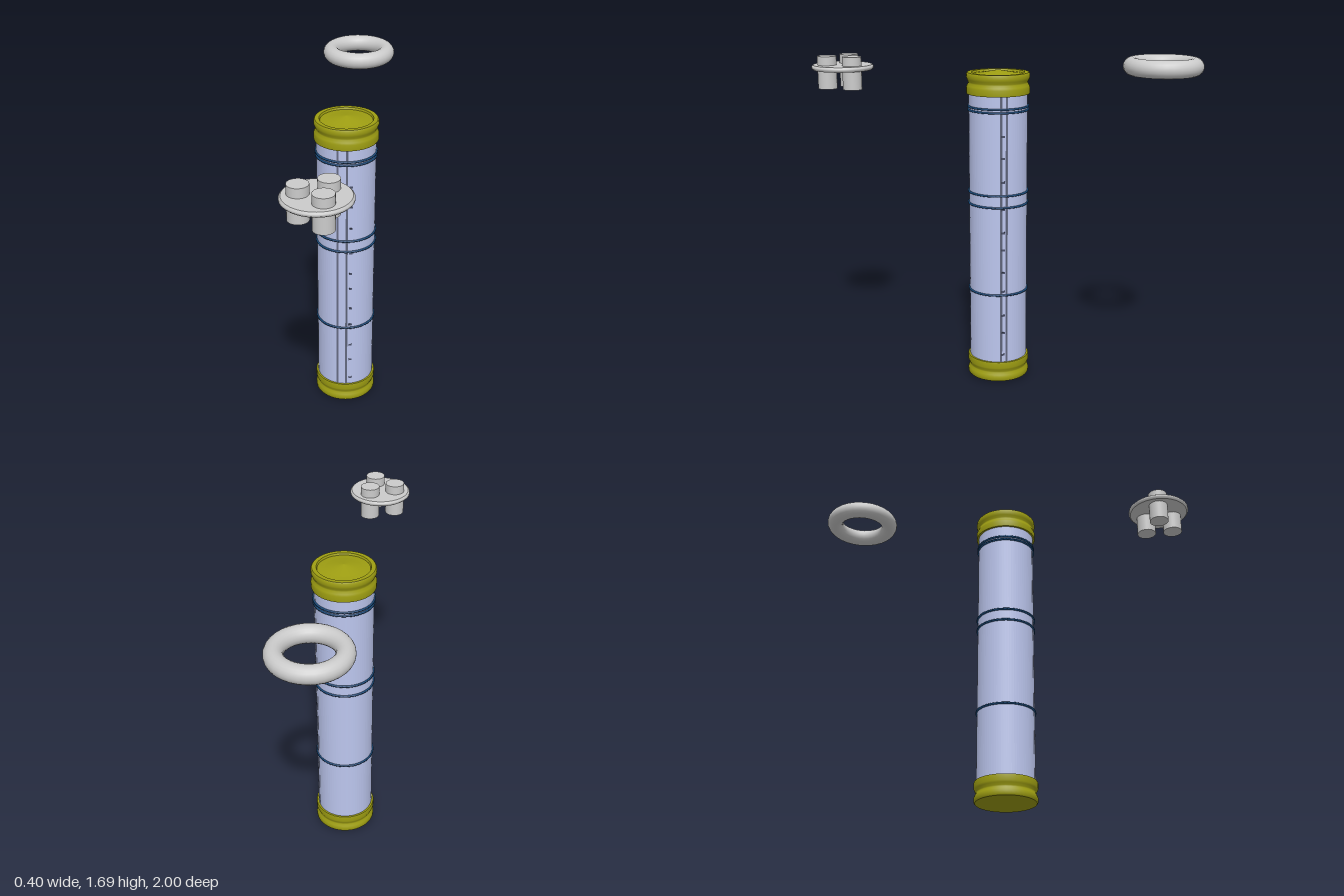
import * as THREE from 'three';

const mat = (color) => new THREE.MeshStandardMaterial({ color });

export function createModel() {
  const model = new THREE.Group();
  const grey = mat(0xcccccc), shell = mat(0xbcc6ee), olive = mat(0x9e9e12);
  const blue = mat(0x1a4a7a), dark = mat(0x4a5068);

  const add = (parent, name, geometry, material, x = 0, y = 0, z = 0) => {
    const mesh = new THREE.Mesh(geometry, material);
    mesh.name = name;
    mesh.position.set(x, y, z);
    parent.add(mesh);
    return mesh;
  };
  // Lathe with hard edges: profile runs from bottom to top on the outside
  const lathe = (points, segments = 40) => {
    const g = new THREE.LatheGeometry(points.map(([r, y]) => new THREE.Vector2(r, y)), segments);
    return g;
  };

  // Tall canister
  const canister = new THREE.Group();
  canister.name = 'canister';
  canister.position.x = 0.04;
  model.add(canister);

  // Shell with two shallow seams along the front and two along the rear side
  const R = 0.147;
  const seams = [98, 80, -22, -33].map((d) => THREE.MathUtils.degToRad(d));
  const angles = [];
  for (let i = 0; i < 72; i++) {
    const a = (i / 72) * Math.PI * 2 - Math.PI;
    if (seams.every((s) => Math.abs(s - a) > 0.03)) angles.push([a, R]);
  }
  for (const s of seams) angles.push([s - 0.02, R], [s, R - 0.005], [s + 0.02, R]);
  angles.sort((p, q) => p[0] - q[0]);
  const outline = new THREE.Shape(angles.map(([a, r]) => new THREE.Vector2(r * Math.cos(a), -r * Math.sin(a))));
  const tube = new THREE.ExtrudeGeometry(outline, { depth: 1.42, bevelEnabled: false });
  tube.rotateX(-Math.PI / 2);
  add(canister, 'shell', tube, shell, 0, 0.1, 0);

  // Blue bands
  for (const y of [0.48, 0.94, 1.0, 1.416, 1.433]) {
    const band = lathe([[0.145, -0.005], [0.154, -0.004], [0.154, 0.004], [0.145, 0.005]], 48);
    add(canister, 'band', band, blue, 0, y, 0);
  }

  // Small tick marks in two columns
  const tickGeometry = new THREE.BoxGeometry(0.016, 0.01, 0.004);
  for (const deg of [72, -26]) {
    const a = THREE.MathUtils.degToRad(deg);
    for (const y of [0.155, 0.275, 0.37, 0.5, 0.6, 0.72, 0.81, 0.93, 1.07, 1.19, 1.3]) {
      const tick = add(canister, 'tick', tickGeometry, dark, R * Math.cos(a), y, R * Math.sin(a));
      tick.rotation.y = Math.PI / 2 - a;
    }
  }

  // End caps with a waisted side; the side profile is shared
  const side = [
    [0.153, 0], [0.158, 0.006], [0.159, 0.022], [0.155, 0.034], [0.149, 0.045],
    [0.149, 0.052], [0.155, 0.064], [0.159, 0.074], [0.159, 0.1], [0.157, 0.105],
  ];
  const cap = new THREE.Group();
  cap.name = 'bottomCap';
  canister.add(cap);
  add(cap, 'capSide', lathe(side), olive, 0, 0.01, 0);
  add(cap, 'capBase', lathe([[0, 0], [0.153, 0.01]]), olive);
  add(cap, 'capShoulder', lathe([[0.157, 0.115], [0.145, 0.115]]), olive);

  const topCap = new THREE.Group();
  topCap.name = 'topCap';
  canister.add(topCap);
  const flipped = side.map(([r, y]) => [r, 1.6 - y]).reverse();
  add(topCap, 'capSide', lathe(flipped), olive);
  add(topCap, 'capShoulder', lathe([[0.145, 1.495], [0.157, 1.495]]), olive);
  add(topCap, 'capRim', lathe([[0.153, 1.6], [0.132, 1.6]]), olive);
  add(topCap, 'capRecess', lathe([[0.132, 1.6], [0.128, 1.59]]), olive);
  add(topCap, 'capDish', lathe([[0.128, 1.59], [0.09, 1.595]]), olive);
  add(topCap, 'capDome', lathe([[0.09, 1.595], [0, 1.612]]), olive);

  // Separate ring behind the canister
  const ring = new THREE.TorusGeometry(0.15, 0.043, 20, 32);
  ring.rotateX(Math.PI / 2);
  add(model, 'ring', ring, grey, -0.01, 1.648, -0.807);

  // Plug in front: a thin disc with three pins through it
  const plug = new THREE.Group();
  plug.name = 'plug';
  plug.position.set(0.04, 0, 0.836);
  model.add(plug);
  add(plug, 'discUnderside', lathe([[0, 1.585], [0.151, 1.585]]), grey);
  add(plug, 'discEdge', lathe([[0.151, 1.585], [0.159, 1.593], [0.159, 1.602], [0.151, 1.61]]), grey);
  add(plug, 'discTop', lathe([[0.151, 1.61], [0, 1.61]]), grey);
  const pin = new THREE.CylinderGeometry(0.049, 0.049, 0.167, 28);
  for (let i = 0; i < 3; i++) {
    const a = Math.PI + (i * Math.PI * 2) / 3;
    add(plug, 'pin', pin, grey, 0.08 * Math.cos(a), 1.572, 0.08 * Math.sin(a));
  }
  return model;
}
